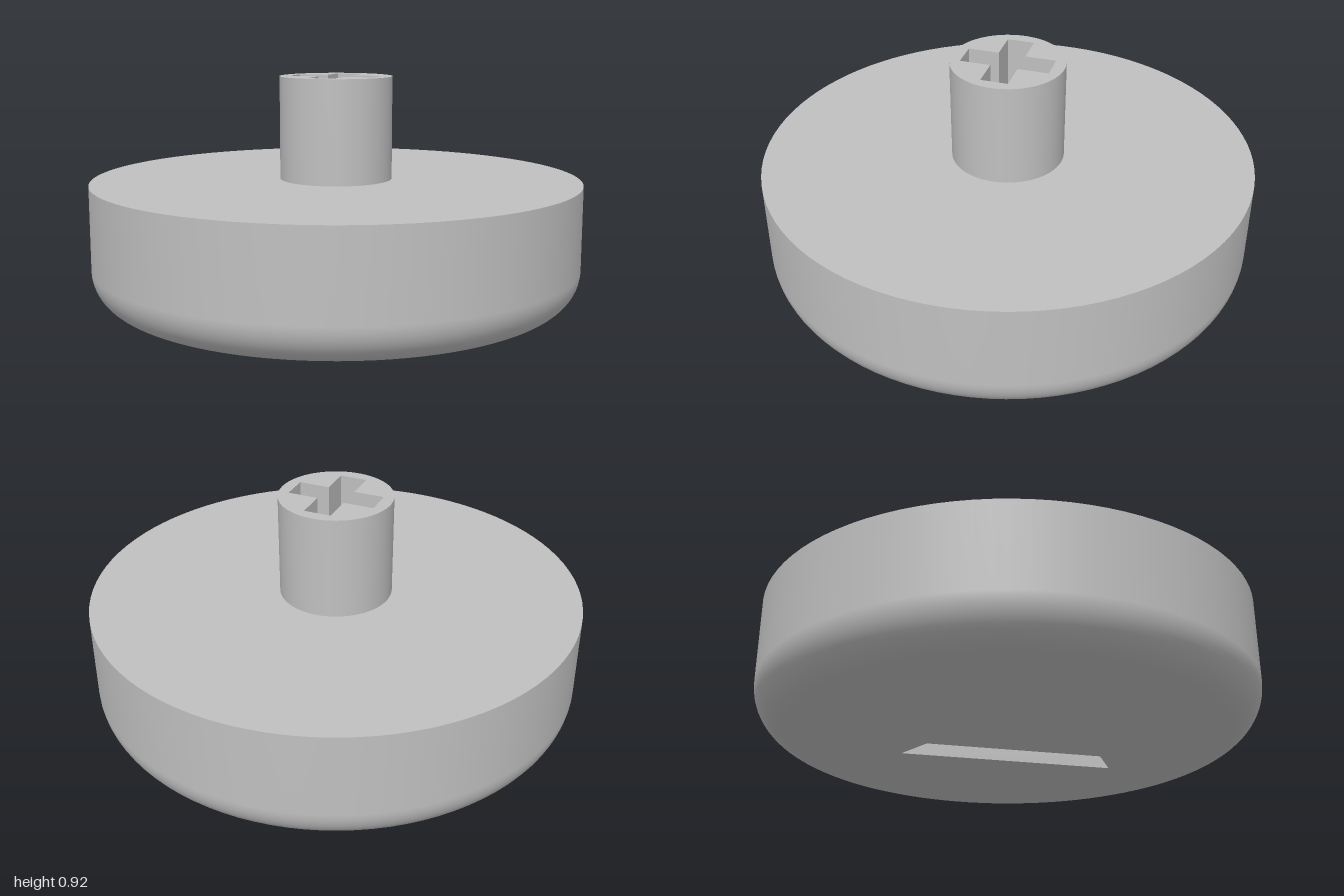
import * as THREE from 'three';

const grey = new THREE.MeshStandardMaterial({ color: 0xc0c0c0 });
grey.name = 'plain grey';

const SEGMENTS = 96;
const CAP_TOP = 0.5, FILLET = 0.16, STEM_R = 0.23, STEM_TOP = 0.92;

// Rotate [x, z] points about the vertical axis and shift them
const place = (points, degrees, cx = 0, cz = 0) => {
  const a = THREE.MathUtils.degToRad(degrees), c = Math.cos(a), s = Math.sin(a);
  return points.map(([x, z]) => [cx + x * c - z * s, cz + x * s + z * c]);
};

const ring = (radius, count) => Array.from({ length: count }, (_, i) => {
  const a = (i / count) * Math.PI * 2;
  return [radius * Math.cos(a), radius * Math.sin(a)];
});

// Flat horizontal face from an [x, z] outline, facing up or down
function face(outline, y, up, hole) {
  const flat = (pts) => pts.map(([x, z]) => new THREE.Vector2(x, up ? -z : z));
  const shape = new THREE.Shape(flat(outline));
  if (hole) shape.holes.push(new THREE.Path(flat(hole)));
  return new THREE.ShapeGeometry(shape).rotateX(up ? -Math.PI / 2 : Math.PI / 2).translate(0, y, 0);
}

// Inward-facing walls of a recess between two heights
function recessWalls(outline, low, high) {
  const positions = [];
  outline.forEach(([px, pz], i) => {
    const [qx, qz] = outline[(i + 1) % outline.length];
    positions.push(px, low, pz, qx, low, qz, qx, high, qz);
    positions.push(px, low, pz, qx, high, qz, px, high, pz);
  });
  const geometry = new THREE.BufferGeometry();
  geometry.setAttribute('position', new THREE.Float32BufferAttribute(positions, 3));
  geometry.computeVertexNormals();
  return geometry;
}

export function createModel() {
  const model = new THREE.Group();
  model.name = 'buttonCap';
  const add = (parent, name, geometry) => {
    const mesh = new THREE.Mesh(geometry, grey);
    mesh.name = name;
    parent.add(mesh);
  };
  const group = (name) => {
    const g = new THREE.Group();
    g.name = name;
    model.add(g);
    return g;
  };

  // Round cap with a rounded lower edge
  const cap = group('cap');
  const profile = [];
  for (let i = 0; i <= 12; i++) {
    const a = (i / 12) * Math.PI / 2;
    profile.push(new THREE.Vector2(1 - FILLET + FILLET * Math.sin(a), FILLET - FILLET * Math.cos(a)));
  }
  profile.push(new THREE.Vector2(1, CAP_TOP));
  add(cap, 'capSide', new THREE.LatheGeometry(profile, SEGMENTS));
  add(cap, 'capTop', face(ring(1, SEGMENTS), CAP_TOP, true));

  // Shallow triangle sunk into the underside
  const triangle = place(ring(0.51, 3), 18, 0.01, 0.055);
  const triangleDepth = 0.05;
  add(cap, 'capUnderside', face(ring(1 - FILLET, SEGMENTS), 0, false, triangle));
  add(cap, 'triangleWalls', recessWalls(triangle, 0, triangleDepth));
  add(cap, 'triangleFloor', face(triangle, triangleDepth, false));

  // Stem with a cross-shaped socket
  const stem = group('stem');
  const l = 0.18, w = 0.055;
  const cross = place([
    [l, -w], [l, w], [w, w], [w, l], [-w, l], [-w, w],
    [-l, w], [-l, -w], [-w, -w], [-w, -l], [w, -l], [w, -w],
  ], -9.7);
  const socketFloor = 0.52;
  const stemHeight = STEM_TOP - CAP_TOP;
  add(stem, 'stemSide', new THREE.CylinderGeometry(STEM_R, STEM_R, stemHeight, 64, 1, true)
    .translate(0, CAP_TOP + stemHeight / 2, 0));
  add(stem, 'stemTop', face(ring(STEM_R, 64), STEM_TOP, true, cross));
  add(stem, 'socketWalls', recessWalls(cross, socketFloor, STEM_TOP));
  add(stem, 'socketFloor', face(cross, socketFloor, true));

  return model;
}
